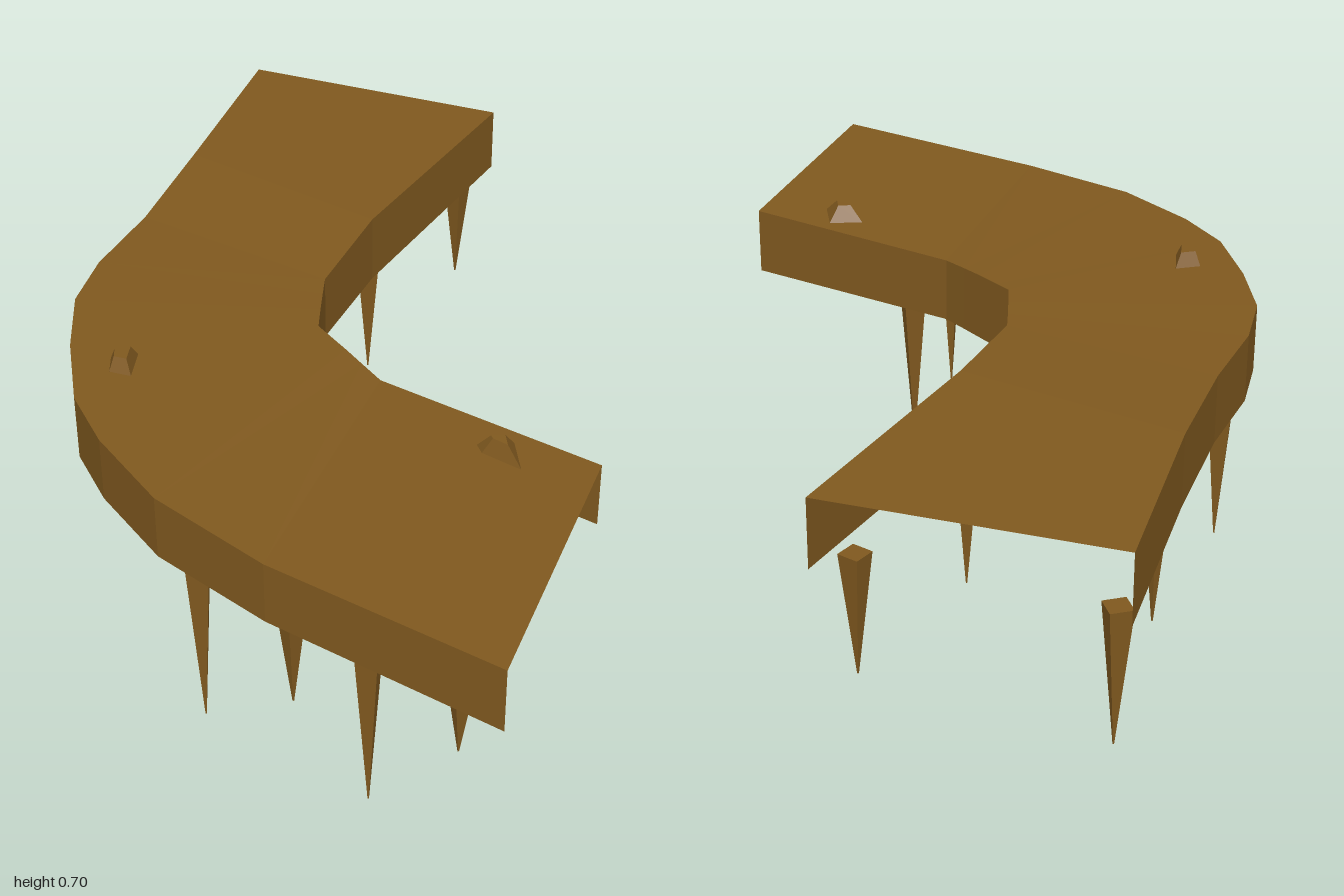
import * as THREE from 'three';

export function createModel() {
  const group = new THREE.Group();
  const material = new THREE.MeshStandardMaterial({
    color: 0x80591f, flatShading: true, side: THREE.DoubleSide,
  });
  const BASE = 0.5;

  const add = (geometry, name) => {
    const mesh = new THREE.Mesh(geometry, material);
    mesh.name = name;
    group.add(mesh);
    return mesh;
  };

  // Strip of quads between two rails of equal length
  const ribbon = (a, b, name) => {
    const pos = [];
    for (let i = 0; i < a.length - 1; i++) {
      pos.push(...a[i], ...a[i + 1], ...b[i], ...b[i], ...a[i + 1], ...b[i + 1]);
    }
    const g = new THREE.BufferGeometry();
    g.setAttribute('position', new THREE.Float32BufferAttribute(pos, 3));
    g.computeVertexNormals();
    return add(g, name);
  };

  // Stations along the bend: outer x, outer z, inner x, inner z, deck height
  const stations = [
    [-0.665, -1, 0, -1, 0.664],
    [-0.645, -0.52, -0.115, -0.39, 0.673],
    [-0.645, -0.22, -0.135, -0.12, 0.664],
    [-0.665, 0, -0.118, -0.06, 0.664],
    [-0.65, 0.16, -0.1, 0, 0.665],
    [-0.58, 0.33, -0.08, 0.065, 0.665],
    [-0.485, 0.505, -0.04, 0.092, 0.664],
    [-0.37, 0.62, 0.01, 0.126, 0.663],
    [-0.18, 0.755, 0.06, 0.16, 0.66],
    [0.11, 0.865, 0.12, 0.2, 0.656],
    [0.665, 0.995, 0.665, 0.33, 0.663],
  ];
  const outer = (y) => stations.map((s) => [s[0], y ?? s[4], s[1]]);
  const inner = (y) => stations.map((s) => [s[2], y ?? s[4], s[3]]);

  // Curved deck with a skirt on each long side, open at the ends and below
  ribbon(outer(), inner(), 'deck');
  ribbon(outer(BASE), outer(), 'outerSkirt');
  ribbon(inner(), inner(BASE), 'innerSkirt');

  // Pointed stakes: x, z, tip height
  const stakes = [
    [0.535, 0.87, 0.28], [0.32, 0.82, 0.01], [0.135, 0.785, 0.21],
    [-0.117, 0.695, 0], [-0.325, 0.455, 0.22], [0.25, 0.32, 0.105],
    [-0.575, 0.16, 0.1], [-0.12, -0.04, 0.115], [-0.62, -0.045, 0.17],
    [-0.555, -0.36, 0.105], [-0.15, -0.455, 0.18], [-0.065, -0.91, 0.21],
    [-0.62, -0.935, 0.175],
  ];
  stakes.forEach(([x, z, tip], i) => {
    const h = BASE - tip;
    const r = 0.03 + 0.02 * h;
    const stake = add(new THREE.CylinderGeometry(r, 0.002, h, 4), 'stake');
    stake.position.set(x, tip + h / 2, z);
    stake.rotation.y = i * 0.9;
  });

  // Irregular stones: four base corners, drawn in towards a small flat top
  const stone = (corners, y, height, shrink) => {
    const cx = corners.reduce((t, c) => t + c[0], 0) / 4;
    const cz = corners.reduce((t, c) => t + c[1], 0) / 4;
    const ring = (k, h) => [...corners, corners[0]].map(([x, z]) =>
      [cx + (x - cx) * k, h, cz + (z - cz) * k]);
    const low = ring(1, y);
    const high = ring(shrink, y + height);
    ribbon(high, low, 'stoneSides');
    ribbon(ring(0, y + height), high, 'stoneTop');
  };
  stone([[-0.475, 0.34], [-0.42, 0.305], [-0.4, 0.39], [-0.455, 0.392]], 0.66, 0.039, 0.55);
  stone([[0.39, 0.35], [0.47, 0.315], [0.515, 0.405], [0.41, 0.375]], 0.655, 0.044, 0.35);
  stone([[-0.595, -0.44], [-0.55, -0.46], [-0.525, -0.41], [-0.575, -0.395]], 0.59, 0.04, 0.5);

  return group;
}
